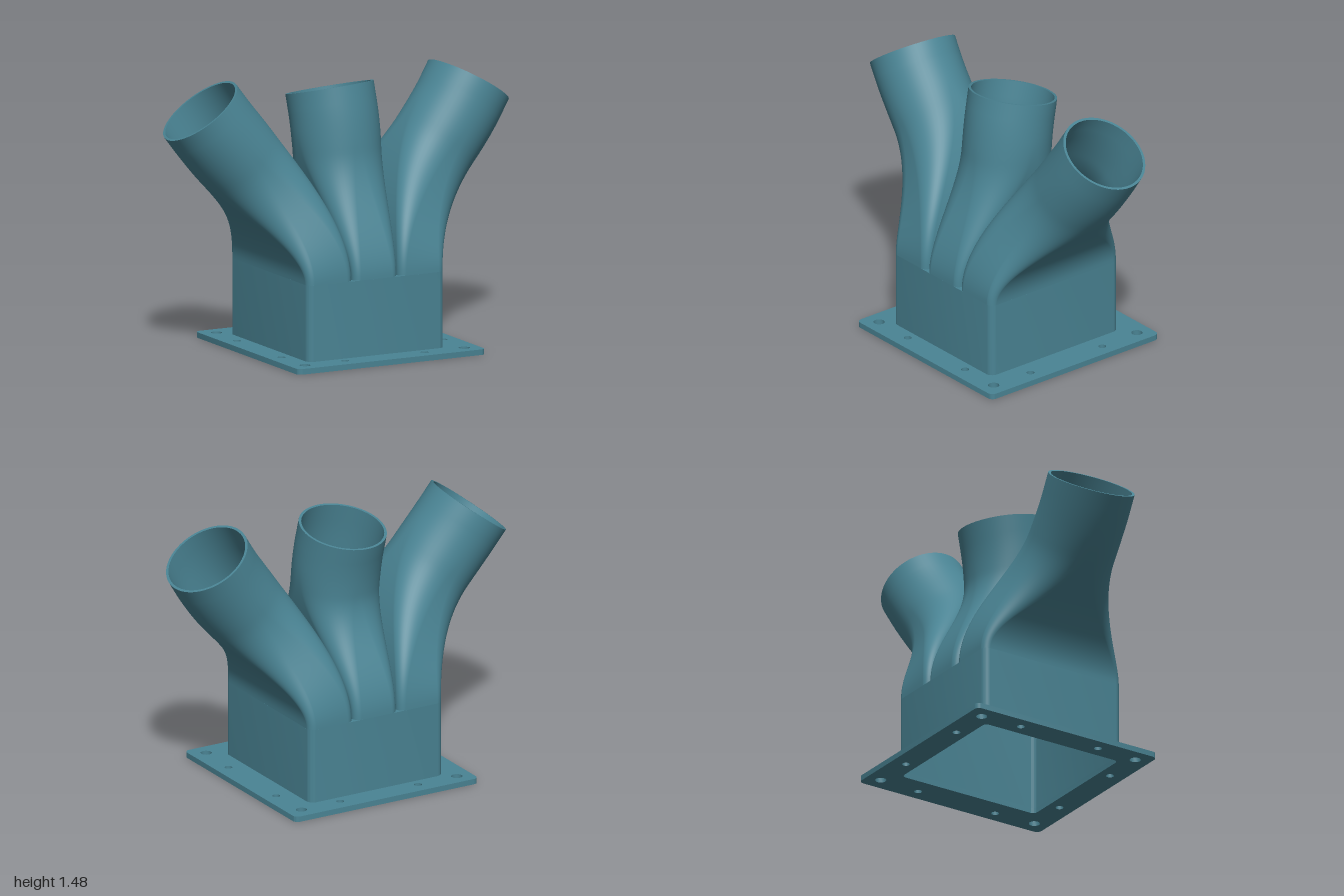
import * as THREE from 'three';
import { toCreasedNormals } from 'three/addons/utils/BufferGeometryUtils.js';

const WALL = 0.014;
const BOX_TOP = 0.44;
const PIPE_R = 0.236;
const COLLAR = 0.09;

// Rounded rectangle outline, as a Shape or a hole Path
function roundedRect(Type, hw, hd, r, cx = 0) {
  const p = new Type();
  p.absarc(cx + hw - r, hd - r, r, 0, Math.PI / 2);
  p.absarc(cx - hw + r, hd - r, r, Math.PI / 2, Math.PI);
  p.absarc(cx - hw + r, -hd + r, r, Math.PI, Math.PI * 1.5);
  p.absarc(cx + hw - r, -hd + r, r, Math.PI * 1.5, Math.PI * 2);
  p.closePath();
  return p;
}

// Extrude a flat outline upwards from y to y + height
function slab(shape, y, height) {
  const g = new THREE.ExtrudeGeometry(shape, { depth: height, bevelEnabled: false, curveSegments: 8 });
  g.rotateX(-Math.PI / 2);
  g.translate(0, y, 0);
  return toCreasedNormals(g, 0.6);
}

// One ring of a duct: rounded rectangle placed on a plane across the path
function ring(center, normal, hw, hd, r) {
  const v = new THREE.Vector3(0, 0, 1).addScaledVector(normal, -normal.z).normalize();
  const u = new THREE.Vector3().crossVectors(normal, v);
  const pts = [];
  const n = 14;
  for (let k = 0; k < 4; k++) {
    const sx = k === 0 || k === 3 ? 1 : -1;
    const sz = k < 2 ? 1 : -1;
    for (let i = 0; i < n; i++) {
      const a = (k + (i + 0.5) / n) * Math.PI / 2;
      pts.push(center.clone()
        .addScaledVector(u, sx * (hw - r) + r * Math.cos(a))
        .addScaledVector(v, sz * (hd - r) + r * Math.sin(a)));
    }
  }
  return pts;
}

// Closed skin through a list of rings
function skin(rings) {
  const n = rings[0].length;
  const pos = [];
  const index = [];
  rings.forEach((row) => row.forEach((p) => pos.push(p.x, p.y, p.z)));
  for (let i = 0; i < rings.length - 1; i++) {
    for (let j = 0; j < n; j++) {
      const a = i * n + j;
      const b = i * n + (j + 1) % n;
      index.push(a, a + n, b, b, a + n, b + n);
    }
  }
  const g = new THREE.BufferGeometry();
  g.setAttribute('position', new THREE.Float32BufferAttribute(pos, 3));
  g.setIndex(index);
  g.computeVertexNormals();
  return g;
}

const smooth = (t) => THREE.MathUtils.smoothstep(t, 0, 1);
const lerp = THREE.MathUtils.lerp;

// Rings from a rectangular mouth to a round collar; inset gives the inner wall
function ductRings({ baseX, halfW, end, axis }, inset) {
  const p0 = new THREE.Vector3(baseX, BOX_TOP, 0);
  const n1 = new THREE.Vector3(...axis).normalize();
  const rim = new THREE.Vector3(...end);
  const p1 = rim.clone().addScaledVector(n1, -COLLAR);
  const reach = p0.distanceTo(p1) / 3;
  const path = new THREE.CubicBezierCurve3(
    p0, new THREE.Vector3(baseX, BOX_TOP + reach, 0),
    p1.clone().addScaledVector(n1, -reach), p1);
  const rows = [];
  const steps = 36;
  for (let i = 0; i <= steps; i++) {
    const t = i / steps;
    const bw = smooth(t / 0.88);
    const bd = smooth(t / 0.73);
    rows.push(ring(path.getPoint(t), path.getTangent(t),
      lerp(halfW, PIPE_R, bw) - inset,
      lerp(0.435, PIPE_R, bd) - inset,
      lerp(0.04, PIPE_R, bw) - inset));
  }
  const r = PIPE_R - inset;
  rows.push(ring(rim, n1, r, r, r));
  return rows;
}

export function createModel() {
  const model = new THREE.Group();
  const teal = new THREE.MeshStandardMaterial({ color: 0x4a8494 });
  teal.name = 'teal';

  const add = (name, geometry, parent = model) => {
    const mesh = new THREE.Mesh(geometry, teal);
    mesh.name = name;
    parent.add(mesh);
    return mesh;
  };

  // Mounting flange with opening, corner holes and edge holes
  const fx = 0.018;
  const flange = roundedRect(THREE.Shape, 0.563, 0.57, 0.03, fx);
  flange.holes.push(roundedRect(THREE.Path, 0.41 - WALL, 0.435 - WALL, 0.026));
  const drill = (x, z, r) => {
    const h = new THREE.Path();
    h.absarc(fx + x, z, r, 0, Math.PI * 2);
    flange.holes.push(h);
  };
  for (const s of [-1, 1]) {
    for (const q of [-1, 1]) {
      drill(s * 0.478, q * 0.487, 0.03);
      drill(s * 0.239, q * 0.487, 0.021);
      drill(s * 0.487, q * 0.244, 0.021);
    }
  }
  add('flange', slab(flange, 0, 0.03));

  // Hollow plenum box
  const box = roundedRect(THREE.Shape, 0.41, 0.435, 0.04);
  box.holes.push(roundedRect(THREE.Path, 0.41 - WALL, 0.435 - WALL, 0.026));
  add('plenumBox', slab(box, 0.03, BOX_TOP - 0.03));

  // Webs closing the box between neighbouring ducts
  for (const s of [-1, 1]) {
    const web = add(s > 0 ? 'leftWeb' : 'rightWeb', new THREE.BoxGeometry(0.03, 0.012, 0.85));
    web.position.set(s * 0.136, BOX_TOP - 0.006, 0);
  }

  // Three ducts fanning out of the box
  const ducts = [
    { name: 'rightDuct', baseX: -0.275, halfW: 0.135, end: [-0.81, 1.34, -0.025], axis: [-0.593, 0.805, -0.085] },
    { name: 'middleDuct', baseX: 0, halfW: 0.131, end: [-0.015, 1.385, -0.06], axis: [-0.06, 0.97, -0.22] },
    { name: 'leftDuct', baseX: 0.275, halfW: 0.135, end: [0.797, 1.352, -0.02], axis: [0.533, 0.846, -0.085] },
  ];
  for (const d of ducts) {
    const group = new THREE.Group();
    group.name = d.name;
    model.add(group);
    const outer = ductRings(d, 0);
    const inner = ductRings(d, WALL).reverse();
    add('outerWall', skin(outer), group);
    add('rim', skin([outer[outer.length - 1], inner[0]]), group);
    add('innerWall', skin(inner), group);
  }
  return model;
}
